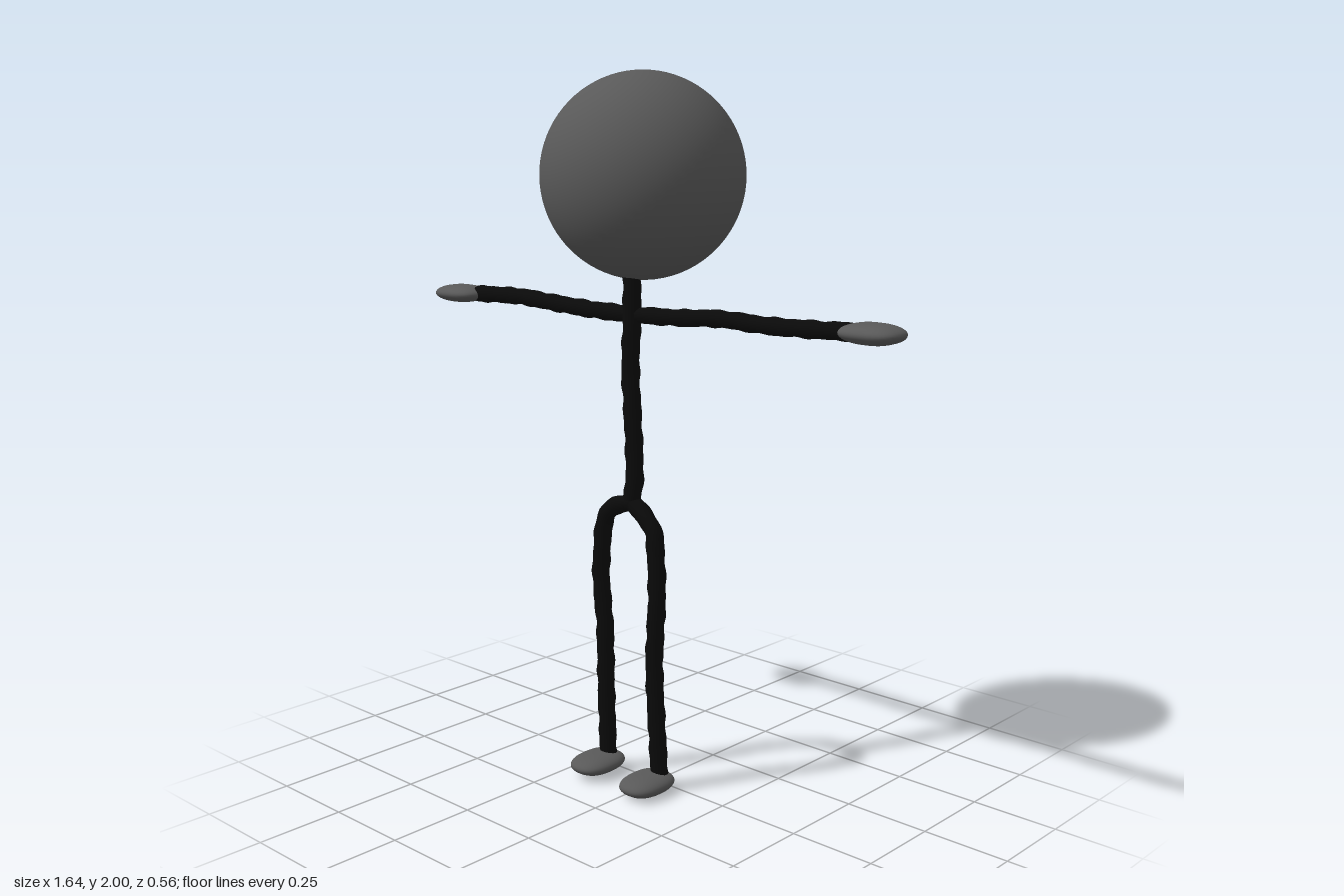
import * as THREE from 'three';

const grey = new THREE.MeshStandardMaterial({ color: 0x595959 });
grey.name = 'grey';
const black = new THREE.MeshStandardMaterial({ color: 0x0a0a0a });
black.name = 'black';

const pow = (v, e) => Math.sign(v) * Math.abs(v) ** e;

// Smooth pebble with slightly squared sides, used for hands and feet
function pebble(name, position, size, squareness, yaw = 0) {
  const geo = new THREE.SphereGeometry(1, 32, 20);
  const p = geo.attributes.position;
  for (let i = 0; i < p.count; i++) {
    const x = p.getX(i), y = p.getY(i), z = p.getZ(i);
    const ring = Math.hypot(x, z) || 1;
    const k = pow(ring, 0.9);
    p.setXYZ(i,
      pow(x / ring, squareness) * k * size[0] / 2,
      y * size[1] / 2,
      pow(z / ring, squareness) * k * size[2] / 2);
  }
  // weld-safe normals from the squashed ellipsoid gradient
  const n = geo.attributes.normal, v = new THREE.Vector3(), e = 2 / squareness - 1;
  for (let i = 0; i < p.count; i++) {
    v.set(
      pow(2 * p.getX(i) / size[0], e) / size[0],
      2 * p.getY(i) / size[1] / size[1],
      pow(2 * p.getZ(i) / size[2], e) / size[2]).normalize();
    n.setXYZ(i, v.x, v.y, v.z);
  }
  const mesh = new THREE.Mesh(geo, grey);
  mesh.name = name;
  mesh.position.set(...position);
  mesh.rotation.y = yaw;
  return mesh;
}

// Hand-modelled limb: a tube with gently uneven thickness and rounded ends
function limb(name, points, radius, phase) {
  const group = new THREE.Group();
  group.name = name;
  const curve = new THREE.CatmullRomCurve3(points.map(q => new THREE.Vector3(...q)));
  const segments = 72, sides = 14;
  const geo = new THREE.TubeGeometry(curve, segments, radius, sides);
  const p = geo.attributes.position;
  const length = curve.getLength(), c = new THREE.Vector3(), v = new THREE.Vector3();
  for (let i = 0; i <= segments; i++) {
    curve.getPointAt(i / segments, c);
    const s = i / segments * length;
    for (let j = 0; j <= sides; j++) {
      const k = i * (sides + 1) + j;
      const a = j / sides * Math.PI * 2;
      const lump = 1 + 0.05 * Math.sin(s * 62 + phase + Math.sin(a))
        + 0.05 * Math.sin(s * 105 + phase * 2 + 2 * Math.cos(a));
      v.fromBufferAttribute(p, k).sub(c).multiplyScalar(lump).add(c);
      p.setXYZ(k, v.x, v.y, v.z);
    }
  }
  const tube = new THREE.Mesh(geo, black);
  tube.name = name + 'Tube';
  group.add(tube);
  for (const t of [0, 1]) {
    const cap = new THREE.Mesh(new THREE.SphereGeometry(radius, 14, 10), black);
    cap.name = name + 'End';
    cap.position.copy(curve.getPointAt(t));
    group.add(cap);
  }
  return group;
}

export function createModel() {
  const model = new THREE.Group();
  model.name = 'stickFigure';

  // Head
  const head = new THREE.Mesh(new THREE.SphereGeometry(0.278, 64, 40), grey);
  head.name = 'head';
  head.position.set(-0.05, 1.722, 0);
  model.add(head);

  // Neck and spine
  model.add(limb('spine', [
    [-0.045, 1.5, 0.05], [-0.045, 1.35, 0.05], [-0.048, 1.2, 0.053], [-0.04, 1.1, 0.055],
    [-0.034, 1.0, 0.055], [-0.032, 0.9, 0.055], [-0.04, 0.83, 0.058]], 0.025, 1));

  // Arms
  model.add(limb('rightArm', [
    [-0.045, 1.352, 0.04], [-0.2, 1.353, 0.042], [-0.35, 1.36, 0.044],
    [-0.5, 1.368, 0.046], [-0.67, 1.364, 0.05]], 0.024, 2));
  model.add(limb('leftArm', [
    [-0.045, 1.352, 0.04], [0.1, 1.355, 0.034], [0.25, 1.364, 0.03],
    [0.4, 1.36, 0.028], [0.52, 1.362, 0.027], [0.66, 1.367, 0.025]], 0.023, 3));

  // Legs
  model.add(limb('rightLeg', [
    [-0.04, 0.832, 0.057], [-0.1, 0.812, 0.06], [-0.138, 0.775, 0.061], [-0.155, 0.68, 0.06],
    [-0.16, 0.6, 0.06], [-0.15, 0.45, 0.056], [-0.154, 0.25, 0.048], [-0.155, 0.05, 0.04]], 0.025, 4));
  model.add(limb('leftLeg', [
    [-0.04, 0.832, 0.057], [0.005, 0.803, 0.058], [0.04, 0.765, 0.058], [0.052, 0.68, 0.058],
    [0.054, 0.58, 0.057], [0.038, 0.38, 0.05], [0.042, 0.2, 0.045], [0.046, 0.05, 0.038]], 0.025, 5));

  // Hands
  model.add(pebble('rightHand', [-0.738, 1.362, 0.062], [0.167, 0.052, 0.125], 0.72));
  model.add(pebble('leftHand', [0.733, 1.37, 0.036], [0.167, 0.054, 0.125], 0.72));

  // Feet
  model.add(pebble('rightFoot', [-0.16, 0.037, 0.079], [0.125, 0.056, 0.17], 0.82));
  model.add(pebble('leftFoot', [0.036, 0.029, 0.079], [0.125, 0.058, 0.17], 0.82));

  return model;
}
